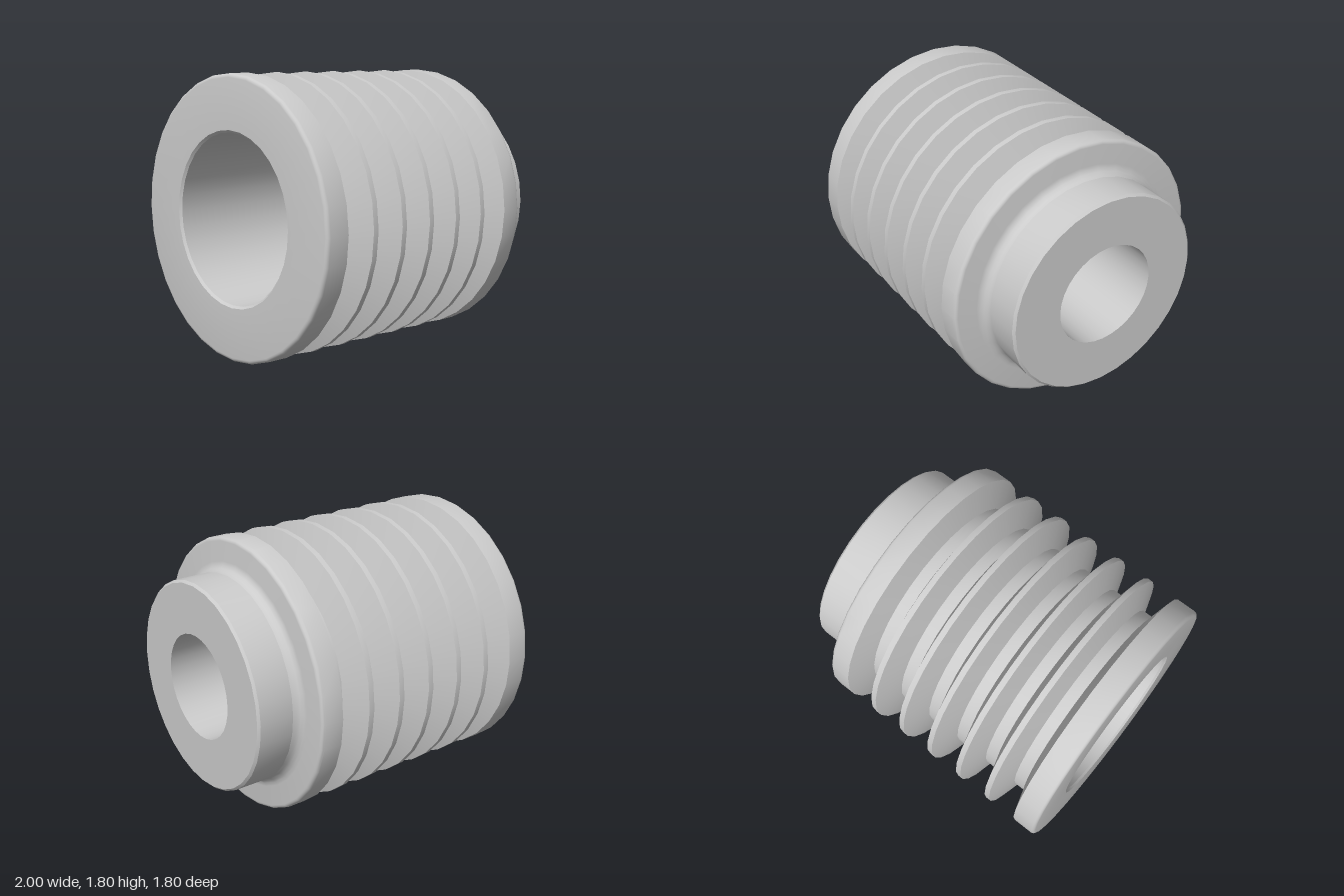
import * as THREE from 'three';
import { toCreasedNormals } from 'three/addons/utils/BufferGeometryUtils.js';

const SEGMENTS = 32;

// Quarter-round points [radius, x] about a centre, angle measured from +x towards +radius
function arc(cr, cx, rad, from, to, steps = 4) {
  return Array.from({ length: steps + 1 }, (_, i) => {
    const a = from + ((to - from) * i) / steps;
    return [cr + rad * Math.sin(a), cx + rad * Math.cos(a)];
  });
}

// Revolve [radius, x] points about the x axis
function turned(name, points, material) {
  const profile = points.map(([r, x]) => new THREE.Vector2(r, x));
  let geometry = new THREE.LatheGeometry(profile, SEGMENTS);
  geometry.rotateZ(-Math.PI / 2);
  geometry = toCreasedNormals(geometry, 0.6);
  const mesh = new THREE.Mesh(geometry, material);
  mesh.name = name;
  return mesh;
}

export function createModel() {
  const group = new THREE.Group();
  group.name = 'groovedPulley';
  const material = new THREE.MeshStandardMaterial({ color: 0xcccccc });
  const R = 0.9, rootR = 0.71, hubR = 0.685, boreR = 0.345, wideBoreR = 0.54;

  // Rim: rounded left edge, six trapezoid grooves, rounded right edge, fillet to the hub
  const rim = [[wideBoreR + 0.015, -1], ...arc(R - 0.025, -0.975, 0.025, Math.PI, Math.PI / 2)];
  for (let i = 0; i < 6; i++) {
    const c = -0.74 + i * 0.237;
    rim.push([R, c - 0.1], [rootR, c - 0.04], [rootR, c + 0.04], [R, c + 0.1]);
  }
  rim.push(...arc(R - 0.025, 0.67, 0.025, Math.PI / 2, 0));
  rim.push(...arc(hubR + 0.06, 0.755, 0.06, Math.PI, Math.PI * 1.5));
  group.add(turned('groovedRim', rim, material));

  // Hub with a small chamfer and its end face
  const hub = [[hubR, 0.755], [hubR, 0.985], [hubR - 0.015, 1], [boreR, 1]];
  group.add(turned('hub', hub, material));

  // Stepped bore, narrow at the hub and wide at the open end
  const bore = [[boreR, 1], [boreR, 0.2], [wideBoreR, 0.2], [wideBoreR, -0.985], [wideBoreR + 0.015, -1]];
  group.add(turned('bore', bore, material));

  group.position.y = R;
  const root = new THREE.Group();
  root.name = 'model';
  root.add(group);
  return root;
}
